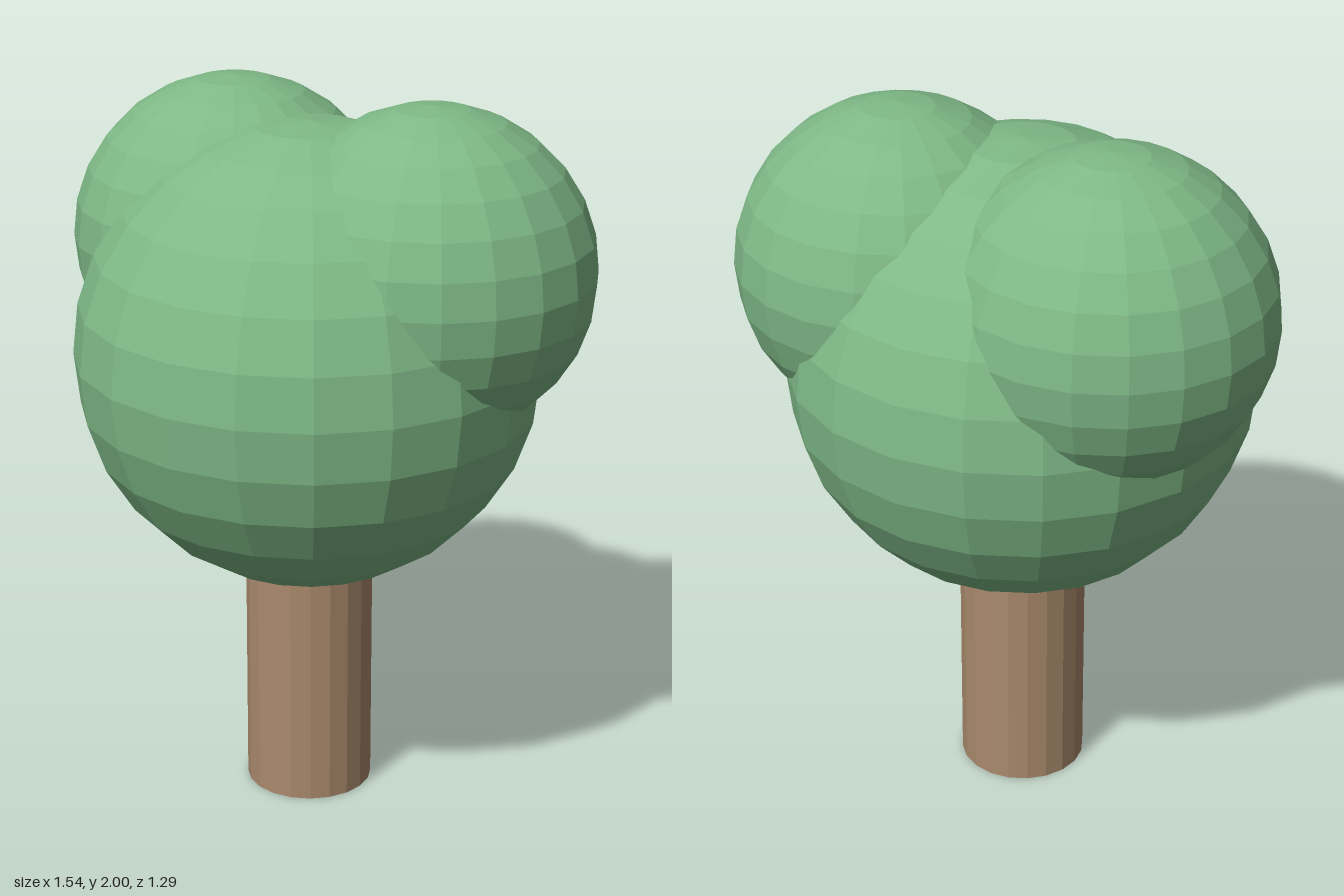
import * as THREE from 'three';

export function createModel() {
  const tree = new THREE.Group();
  tree.name = 'tree';

  const leaf = new THREE.MeshStandardMaterial({ color: 0x7fb987, flatShading: true });
  const bark = new THREE.MeshStandardMaterial({ color: 0xaa8a6c, flatShading: true });

  const add = (name, geometry, material, x, y, z) => {
    const mesh = new THREE.Mesh(geometry, material);
    mesh.name = name;
    mesh.position.set(x, y, z);
    tree.add(mesh);
  };

  // Trunk, its top sunk into the foliage
  const trunkHeight = 0.8;
  add('trunk', new THREE.CylinderGeometry(0.178, 0.178, trunkHeight, 20), bark, 0, trunkHeight / 2, 0);

  // Main ball of foliage
  add('mainFoliage', new THREE.SphereGeometry(0.645, 20, 14), leaf, 0, 1.29, 0);

  // Two smaller balls, high up and slightly to the back
  for (const side of [1, -1]) {
    add(side > 0 ? 'leftFoliage' : 'rightFoliage',
      new THREE.SphereGeometry(0.45, 20, 14), leaf, side * 0.322, 1.55, -0.1);
  }

  return tree;
}
